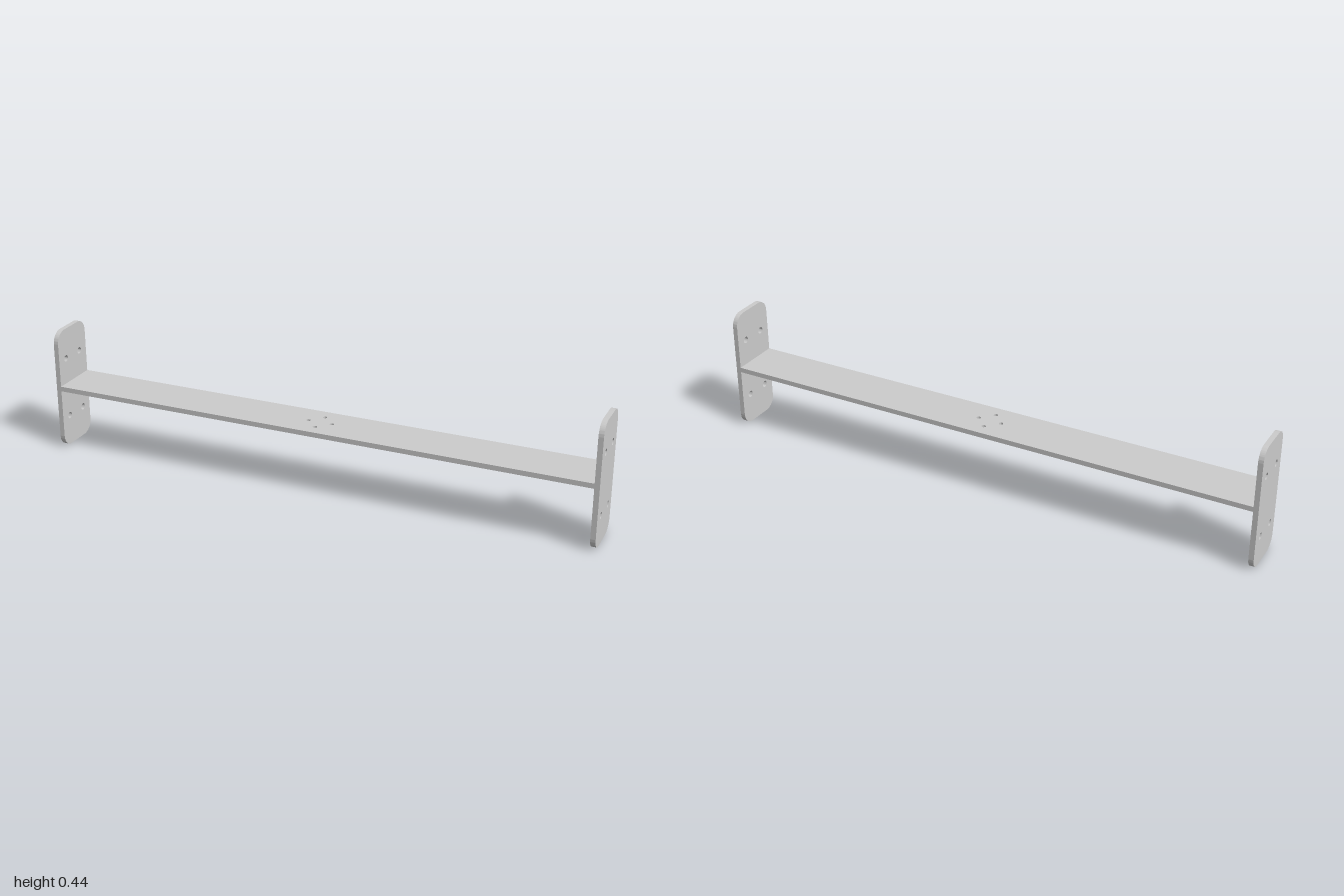
import * as THREE from 'three';
import { toCreasedNormals } from 'three/addons/utils/BufferGeometryUtils.js';

const THICK = 0.0178, HALF_W = 0.089, HEIGHT = 0.445, MID = HEIGHT / 2;

// Rounded rectangle centred on the origin, with round holes [x, y]
function plateShape(w, h, r, holes, holeR) {
  const s = new THREE.Shape();
  const x = w / 2, y = h / 2;
  if (r > 0) {
    s.absarc(x - r, y - r, r, 0, Math.PI / 2);
    s.absarc(-x + r, y - r, r, Math.PI / 2, Math.PI);
    s.absarc(-x + r, -y + r, r, Math.PI, Math.PI * 1.5);
    s.absarc(x - r, -y + r, r, Math.PI * 1.5, Math.PI * 2);
    s.closePath();
  } else {
    s.moveTo(-x, -y).lineTo(x, -y).lineTo(x, y).lineTo(-x, y).closePath();
  }
  for (const [hx, hy] of holes) {
    s.holes.push(new THREE.Path().absarc(hx, hy, holeR, 0, Math.PI * 2, true));
  }
  return s;
}

// Flat sheet with its thickness centred on z = 0
function sheet(shape) {
  const g = new THREE.ExtrudeGeometry(shape, { depth: THICK, bevelEnabled: false, curveSegments: 16 });
  g.translate(0, 0, -THICK / 2);
  return toCreasedNormals(g, 0.5);
}

export function createModel() {
  const group = new THREE.Group();
  const mat = new THREE.MeshStandardMaterial({ color: 0xcccccc });

  // Upright end plates with four bolt holes each
  const hz = 0.0445, hy = 0.1115;
  const endGeo = sheet(plateShape(HALF_W * 2, HEIGHT, 0.0445,
    [[-hz, -hy], [hz, -hy], [hz, hy], [-hz, hy]], 0.012));
  endGeo.rotateY(Math.PI / 2);
  for (const side of [1, -1]) {
    const plate = new THREE.Mesh(endGeo, mat);
    plate.name = side > 0 ? 'leftEndPlate' : 'rightEndPlate';
    plate.position.set(side * (1 - THICK / 2), MID, 0);
    group.add(plate);
  }

  // Flat crossbar resting on the mid-height line, with a ring of four small holes
  const d = 0.0435;
  const barGeo = sheet(plateShape(2 - THICK * 2, HALF_W * 2, 0,
    [[d, 0], [0, d], [-d, 0], [0, -d]], 0.0075));
  barGeo.rotateX(-Math.PI / 2);
  const bar = new THREE.Mesh(barGeo, mat);
  bar.name = 'crossbar';
  bar.position.y = MID + THICK / 2;
  group.add(bar);

  return group;
}
